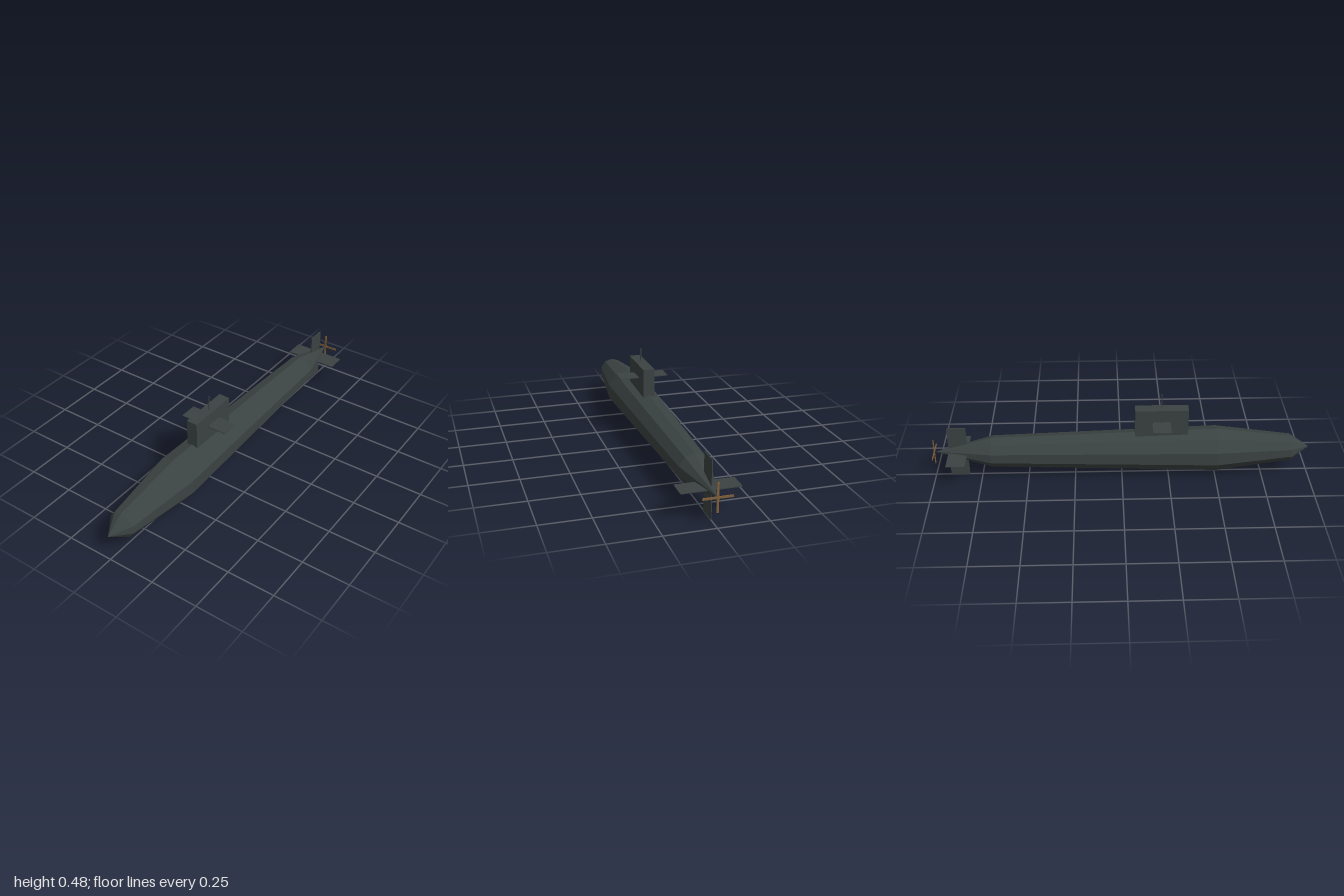
import * as THREE from 'three';

const AXIS_Y = 0.146; // height of the hull centreline

export function createModel() {
  const group = new THREE.Group();
  group.name = 'submarine';

  const hullGrey = new THREE.MeshStandardMaterial({ color: 0x3b4342, flatShading: true });
  hullGrey.name = 'hullGrey';
  const bronze = new THREE.MeshStandardMaterial({ color: 0x80603a, flatShading: true });
  bronze.name = 'bronze';

  const add = (name, geometry, material, x, y, z) => {
    const mesh = new THREE.Mesh(geometry, material);
    mesh.name = name;
    mesh.position.set(x, y, z);
    group.add(mesh);
    return mesh;
  };
  const box = (name, material, size, x, y, z) =>
    add(name, new THREE.BoxGeometry(...size), material, x, y, z);

  // Ten-sided hull, turned from tail to nose: [radius, z]
  const profile = [[0, -0.99], [0.083, -0.69], [0.12, 0.5], [0.07, 0.9], [0, 1]]
    .map(([r, z]) => new THREE.Vector2(r, z));
  const hull = new THREE.LatheGeometry(profile, 10);
  hull.rotateX(Math.PI / 2);
  add('hull', hull, hullGrey, 0, AXIS_Y, 0);

  // Sail with its diving planes and mast
  box('sail', hullGrey, [0.06, 0.22, 0.278], 0, 0.288, 0.208);
  box('sailPlanes', hullGrey, [0.265, 0.004, 0.095], 0, 0.328, 0.205);
  box('mast', hullGrey, [0.005, 0.09, 0.005], 0.005, 0.434, 0.208);

  // Cross-shaped stern fins
  box('sternPlanes', hullGrey, [0.29, 0.004, 0.1], 0, AXIS_Y, -0.869);
  box('rudder', hullGrey, [0.004, 0.292, 0.1], 0, AXIS_Y, -0.869);

  // Four-bladed propeller made of two crossed bars
  box('propellerBladesAcross', bronze, [0.144, 0.011, 0.004], 0, AXIS_Y, -0.996);
  box('propellerBladesUpright', bronze, [0.011, 0.144, 0.004], 0, AXIS_Y, -0.996);

  return group;
}
